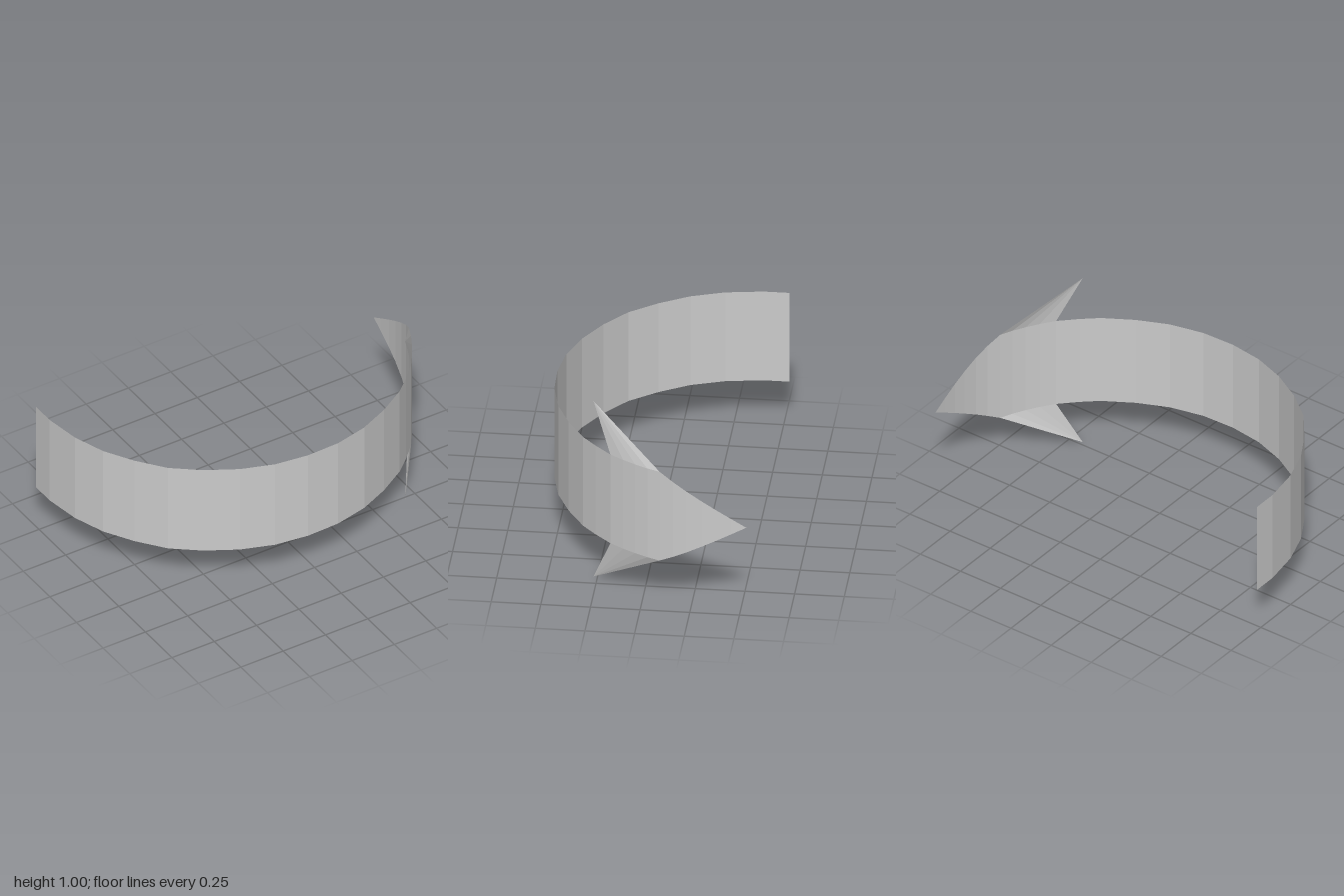
import * as THREE from 'three';

const MID = 0.5, HALF = 0.253;

// Ground plan of the curve, [x, z], from tail to arrow tip
const bandPath = [
  [-1, -0.53], [-1, -0.4], [-0.97, -0.21], [-0.91, -0.04], [-0.82, 0.11],
  [-0.71, 0.25], [-0.57, 0.36], [-0.41, 0.45], [-0.24, 0.51], [-0.06, 0.535],
  [0.12, 0.53], [0.3, 0.49], [0.46, 0.42], [0.61, 0.33], [0.69, 0.26], [0.775, 0.175],
];
const shoulderPath = [[0.775, 0.175], [0.825, 0.105], [0.865, 0.04], [0.9, -0.025], [0.928, -0.09]];
const pointPath = [[0.928, -0.09], [0.955, -0.16], [0.974, -0.23], [0.987, -0.31], [0.994, -0.38], [0.998, -0.46], [1, -0.535]];

function surface(name, triangles) {
  const geometry = new THREE.BufferGeometry();
  geometry.setAttribute('position', new THREE.Float32BufferAttribute(triangles.flat(2), 3));
  geometry.computeVertexNormals();
  const material = new THREE.MeshStandardMaterial({ color: 0xcccccc, flatShading: true, side: THREE.DoubleSide });
  const mesh = new THREE.Mesh(geometry, material);
  mesh.name = name;
  return mesh;
}

// Upright strip along a path, with a half height at each path point
function strip(name, path, halfHeight) {
  const triangles = [];
  for (let i = 0; i < path.length - 1; i++) {
    const [a, b] = [path[i], path[i + 1]];
    const [ha, hb] = [halfHeight(a), halfHeight(b)];
    const a0 = [a[0], MID - ha, a[1]], a1 = [a[0], MID + ha, a[1]];
    const b0 = [b[0], MID - hb, b[1]], b1 = [b[0], MID + hb, b[1]];
    triangles.push([a0, b0, b1]);
    if (ha > 0) triangles.push([a0, b1, a1]);
  }
  return surface(name, triangles);
}

// Barb: a fan from its sharp corner to the edge of the shoulder
function barb(name, side) {
  const corner = [0.68, MID + side * 0.5, 0.27];
  const triangles = [];
  for (let i = 0; i < shoulderPath.length - 1; i++) {
    const [a, b] = [shoulderPath[i], shoulderPath[i + 1]].map(([x, z]) => [x, MID + side * HALF, z]);
    triangles.push(side > 0 ? [corner, a, b] : [corner, b, a]);
  }
  return surface(name, triangles);
}

export function createModel() {
  const model = new THREE.Group();
  model.name = 'curvedArrow';
  model.add(strip('band', bandPath, () => HALF));

  const head = new THREE.Group();
  head.name = 'arrowHead';
  head.add(
    strip('shoulder', shoulderPath, () => HALF),
    // The point narrows evenly to nothing at the tip
    strip('point', pointPath, ([, z]) => HALF * Math.max(0, (z + 0.535) / 0.445)),
    barb('upperBarb', 1),
    barb('lowerBarb', -1),
  );
  model.add(head);
  return model;
}
